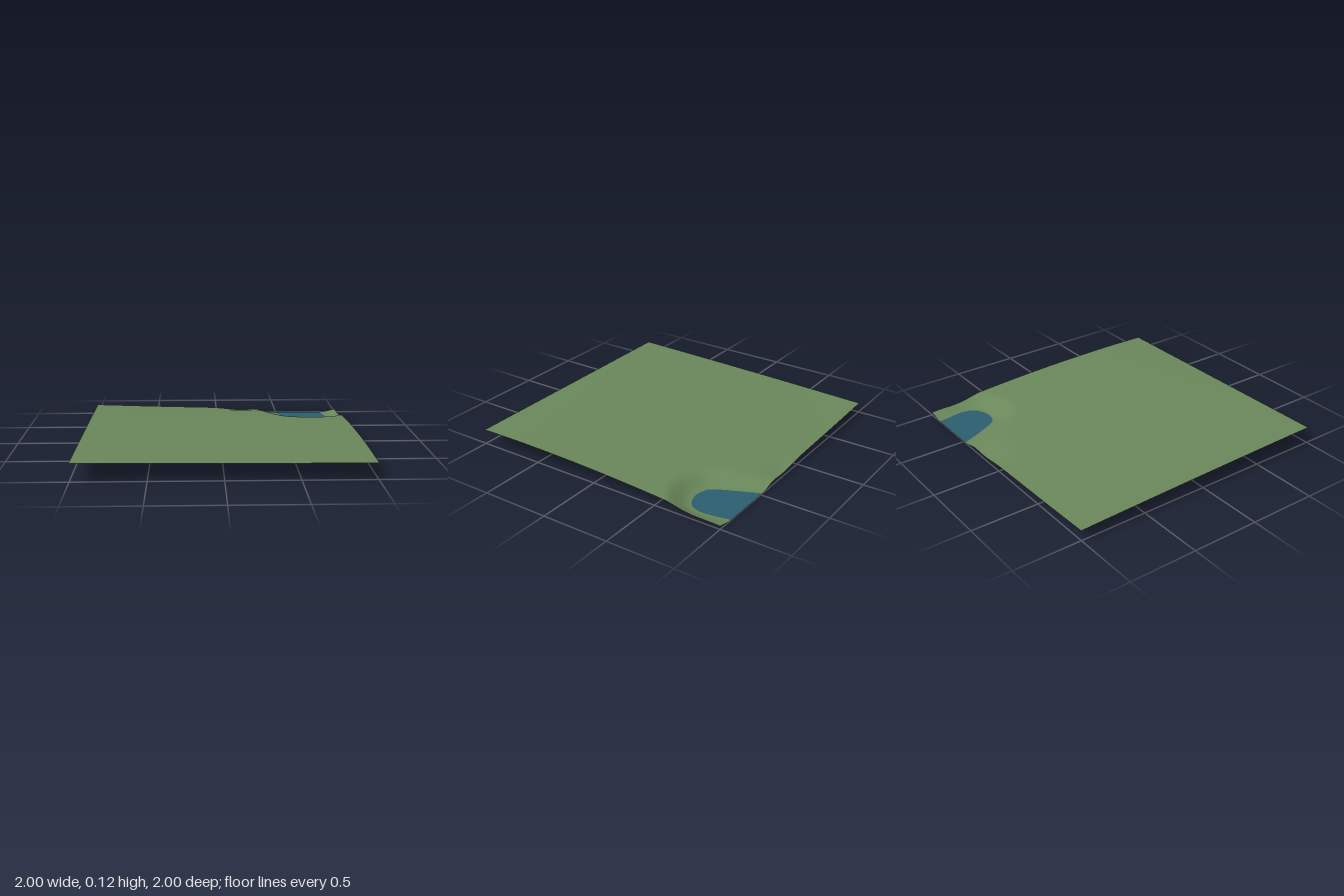
import * as THREE from 'three';

const grass = new THREE.MeshStandardMaterial({ color: 0x6a875a, side: THREE.DoubleSide });
grass.name = 'grass green';
const water = new THREE.MeshStandardMaterial({ color: 0x2c5f70, side: THREE.DoubleSide });
water.name = 'pond blue';

// The pond opens onto the back edge; everything fans out from its middle there
const CX = 0.68, CZ = -1;

// Shoreline, from the right end round to the left end
const shore = new THREE.SplineCurve([
  [0.87, -1], [0.89, -0.89], [0.9, -0.8], [0.88, -0.72], [0.83, -0.675], [0.75, -0.65],
  [0.68, -0.66], [0.62, -0.7], [0.54, -0.86], [0.48, -1],
].map(([x, z]) => new THREE.Vector2(x, z))).getPoints(200);
const shorePolar = shore.map((p) => [Math.atan2(p.y - CZ, p.x - CX), Math.hypot(p.x - CX, p.y - CZ)]);

function shoreRadius(a) {
  let i = 1;
  while (i < shorePolar.length - 1 && shorePolar[i][0] < a) i++;
  const [a0, r0] = shorePolar[i - 1], [a1, r1] = shorePolar[i];
  return r0 + (r1 - r0) * (a - a0) / (a1 - a0);
}

// Distance to the square border along a ray
function borderRadius(a) {
  const dx = Math.cos(a), dz = Math.sin(a);
  const rx = dx > 0 ? (1 - CX) / dx : (-1 - CX) / dx;
  return Math.min(rx, dz > 1e-6 ? 2 / dz : Infinity);
}

// Gentle slope to the back right, a shallow dip at the back edge, and the pond bank
function height(x, z) {
  const left = 0.104 + 0.025 * z - 0.004 * z * z;
  const right = 0.1 + 0.04 * z - 0.03 * z * z;
  let y = left + (right - left) * (x + 1) / 2;
  if (z < 0) y -= 0.008 * (1 - x * x) * z * z;
  y -= 0.016 * Math.exp(-(((x - 0.2) / 0.15) ** 2) - ((z + 1) / 0.11) ** 2);
  let d = Infinity;
  for (const p of shore) d = Math.min(d, Math.hypot(p.x - x, p.y - z));
  return y * THREE.MathUtils.smoothstep(d, 0, 0.18);
}

// Ray angles, including the two front corners
const angles = Array.from({ length: 141 }, (_, i) => Math.PI * i / 140);
angles.push(Math.atan2(2, 1 - CX), Math.atan2(2, -1 - CX));
angles.sort((a, b) => a - b);

function groundGeometry() {
  const rows = 50, pos = [], index = [];
  angles.forEach((a, i) => {
    const r0 = shoreRadius(a), r1 = borderRadius(a);
    for (let j = 0; j <= rows; j++) {
      const r = r0 + (r1 - r0) * (j / rows) ** 1.5;
      const x = CX + r * Math.cos(a), z = CZ + r * Math.sin(a);
      pos.push(x, j ? height(x, z) : 0, z);
      if (i < angles.length - 1 && j < rows) {
        const p = i * (rows + 1) + j, q = p + rows + 1;
        index.push(p, q, p + 1, q, q + 1, p + 1);
      }
    }
  });
  const geo = new THREE.BufferGeometry();
  geo.setAttribute('position', new THREE.Float32BufferAttribute(pos, 3));
  geo.setIndex(index);
  geo.computeVertexNormals();
  return geo;
}

function pondGeometry() {
  const outline = angles.map((a) => {
    const r = shoreRadius(a);
    return new THREE.Vector2(CX + r * Math.cos(a), -(CZ + r * Math.sin(a)));
  });
  return new THREE.ShapeGeometry(new THREE.Shape(outline)).rotateX(-Math.PI / 2);
}

export function createModel() {
  const group = new THREE.Group();
  group.name = 'meadowWithPond';
  const ground = new THREE.Mesh(groundGeometry(), grass);
  ground.name = 'ground';
  const pond = new THREE.Mesh(pondGeometry(), water);
  pond.name = 'pond';
  group.add(ground, pond);
  return group;
}
